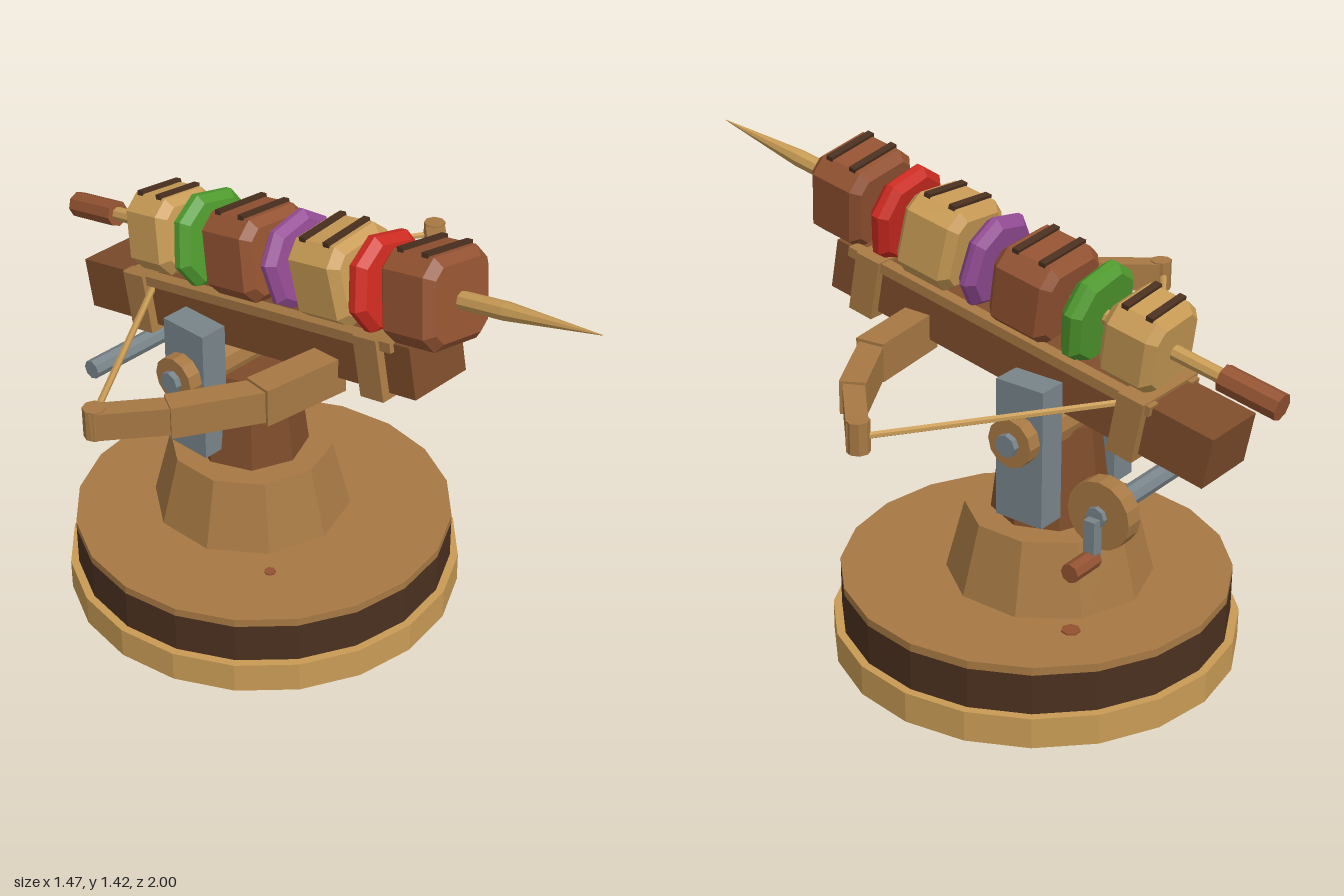
import * as THREE from 'three';

const mat = (name, color) => {
  const m = new THREE.MeshStandardMaterial({ color });
  m.name = name;
  m.flatShading = true;
  return m;
};

export function createModel() {
  const gold = mat('paleWood', 0xc89b55);
  const tan = mat('midWood', 0xa67843);
  const brown = mat('brownWood', 0x7d4c2a);
  const dark = mat('charredWood', 0x4a301f);
  const meat = mat('roastBrown', 0x925231);
  const red = mat('pepperRed', 0xcc2a20);
  const green = mat('pepperGreen', 0x4f9a2e);
  const purple = mat('onionPurple', 0x934c94);
  const grey = mat('iron', 0x78848a);

  const model = new THREE.Group();
  model.name = 'skewerBallista';

  const add = (parent, name, geo, material, x = 0, y = 0, z = 0) => {
    const m = new THREE.Mesh(geo, material);
    m.name = name;
    m.position.set(x, y, z);
    parent.add(m);
    return m;
  };
  const box = (parent, name, material, w, h, d, x, y, z) =>
    add(parent, name, new THREE.BoxGeometry(w, h, d), material, x, y, z);
  // Cylinder standing on y0
  const drum = (name, material, r0, r1, y0, y1, z, sides) =>
    add(model, name, new THREE.CylinderGeometry(r1, r0, y1 - y0, sides), material, 0, (y0 + y1) / 2, z);
  // Cylinder along x from x0 to x1
  const rod = (name, material, r, x0, x1, y, z, sides) =>
    add(model, name, new THREE.CylinderGeometry(r, r, x1 - x0, sides).rotateZ(Math.PI / 2), material, (x0 + x1) / 2, y, z);
  // Cylinder or cone along z from z0 to z1
  const shaft = (parent, name, material, r0, r1, z0, z1, y, sides) =>
    add(parent, name, new THREE.CylinderGeometry(r1, r0, z1 - z0, sides).rotateX(Math.PI / 2), material, 0, y, (z0 + z1) / 2);

  // Turntable and pedestal
  drum('baseRing', gold, 0.605, 0.605, 0, 0.095, -0.2, 20);
  drum('turntable', dark, 0.58, 0.58, 0.095, 0.22, -0.2, 20);
  drum('turntableTop', tan, 0.58, 0.58, 0.22, 0.245, -0.2, 20);
  drum('pedestal', tan, 0.305, 0.25, 0.245, 0.46, -0.25, 10);
  drum('post', brown, 0.175, 0.14, 0.46, 0.75, -0.25, 8);
  for (const [x, z, r] of [[-0.24, 0.06, 0.018], [0.25, -0.51, 0.028]])
    add(model, 'woodKnot', new THREE.CylinderGeometry(r, r, 0.006, 7), meat, x, 0.247, z);

  // Iron yoke and pivot
  for (const s of [-1, 1]) box(model, 'yokePlate', grey, 0.09, 0.42, 0.16, s * 0.175, 0.72, -0.3);
  rod('pivotAxle', tan, 0.073, -0.265, 0.265, 0.77, -0.3, 12);
  rod('pivotBolt', grey, 0.034, -0.285, 0.285, 0.77, -0.3, 8);

  // Windlass with crank
  rod('windlassBar', grey, 0.03, -0.295, 0.32, 0.675, -0.63, 8);
  rod('windlassWheel', tan, 0.1, 0.25, 0.305, 0.675, -0.63, 16);
  box(model, 'crankArm', grey, 0.035, 0.12, 0.035, 0.328, 0.615, -0.63);
  rod('crankHandle', meat, 0.028, 0.32, 0.43, 0.555, -0.63, 8);

  // Bow limbs: joined beams, vertical nocks and the drawn string
  const limb = [[0.08, 0.932, 0.16], [0.338, 0.932, 0.128], [0.555, 0.932, 0.005], [0.705, 0.918, -0.14]]
    .map((p) => new THREE.Vector3(...p));
  const sizes = [[0.09, 0.115], [0.075, 0.098], [0.06, 0.085]];
  for (const s of [-1, 1]) {
    const pts = limb.map((p) => new THREE.Vector3(p.x * s, p.y, p.z));
    sizes.forEach(([w, h], i) => {
      const a = pts[i], b = pts[i + 1];
      const beam = box(model, 'bowLimb', tan, w, h, a.distanceTo(b) + 0.02, 0, 0, 0);
      beam.position.lerpVectors(a, b, 0.5);
      beam.lookAt(b);
    });
    add(model, 'bowNock', new THREE.CylinderGeometry(0.033, 0.033, 0.092, 8), tan, s * 0.703, 0.92, -0.14);
    const path = new THREE.LineCurve3(new THREE.Vector3(s * 0.703, 0.92, -0.15), new THREE.Vector3(s * 0.06, 0.91, -0.58));
    add(model, 'bowString', new THREE.TubeGeometry(path, 1, 0.01, 6), gold);
  }

  // Tilted stock
  const stock = new THREE.Group();
  stock.name = 'stock';
  stock.position.set(0, 0.937, -0.184);
  stock.rotation.x = -0.186;
  model.add(stock);
  box(stock, 'stockBeam', brown, 0.21, 0.156, 1.333, 0, 0, 0);
  for (const s of [-1, 1]) box(stock, 'stockRail', tan, 0.04, 0.03, 1.08, s * 0.1, 0.07, 0.07);
  for (const z of [0.528, -0.413]) box(stock, 'stockBand', tan, 0.265, 0.185, 0.085, 0, -0.004, z);

  // Skewer
  const skewerY = 0.2;
  shaft(stock, 'skewerRod', gold, 0.022, 0.027, -0.62, 0.93, skewerY, 8);
  shaft(stock, 'skewerTip', gold, 0.027, 0.001, 0.93, 1.238, skewerY, 8);
  shaft(stock, 'skewerHandle', meat, 0.04, 0.04, -0.785, -0.6, skewerY, 8);

  // Chamfered block with corners cut by c and bevelled ends
  const chunkGeo = (w, h, d, c, b) => {
    const x = w / 2, y = h / 2;
    const shape = new THREE.Shape([
      [x - c, -y], [x, c - y], [x, y - c], [x - c, y], [c - x, y], [-x, y - c], [-x, c - y], [c - x, -y],
    ].map((p) => new THREE.Vector2(...p)));
    return new THREE.ExtrudeGeometry(shape, {
      depth: d - 2 * b, bevelEnabled: true, bevelSegments: 1, bevelSize: b, bevelThickness: b, bevelOffset: -b,
    }).translate(0, 0, b - d / 2);
  };

  // Roasted chunks with char marks on top
  const chunks = [
    [meat, 0.686, 0.26, 0.26, 0.19, -0.16],
    [gold, 0.348, 0.25, 0.25, 0.195, 0.08],
    [meat, 0.005, 0.265, 0.25, 0.2, -0.08],
    [gold, -0.353, 0.235, 0.235, 0.175, -0.1],
  ];
  for (const [m, z, w, h, d, roll] of chunks) {
    const g = new THREE.Group();
    g.name = 'roastChunk';
    g.position.set(0, skewerY, z);
    g.rotation.z = roll;
    stock.add(g);
    add(g, 'chunkBody', chunkGeo(w, h, d, 0.045, 0.025), m);
    for (const s of [-1, 1]) box(g, 'charMark', dark, w - 0.08, 0.018, 0.022, 0, h / 2, s * d * 0.23);
  }

  // Vegetable slices between the chunks
  const slices = [[red, 0.511, 0.27, 0.066, -0.22], [purple, 0.18, 0.265, 0.06, 0.2], [green, -0.18, 0.275, 0.066, -0.2]];
  for (const [m, z, w, d, roll] of slices)
    add(stock, 'vegetableSlice', chunkGeo(w, w, d, 0.07, 0.022), m, 0, skewerY, z).rotation.z = roll;

  return model;
}
